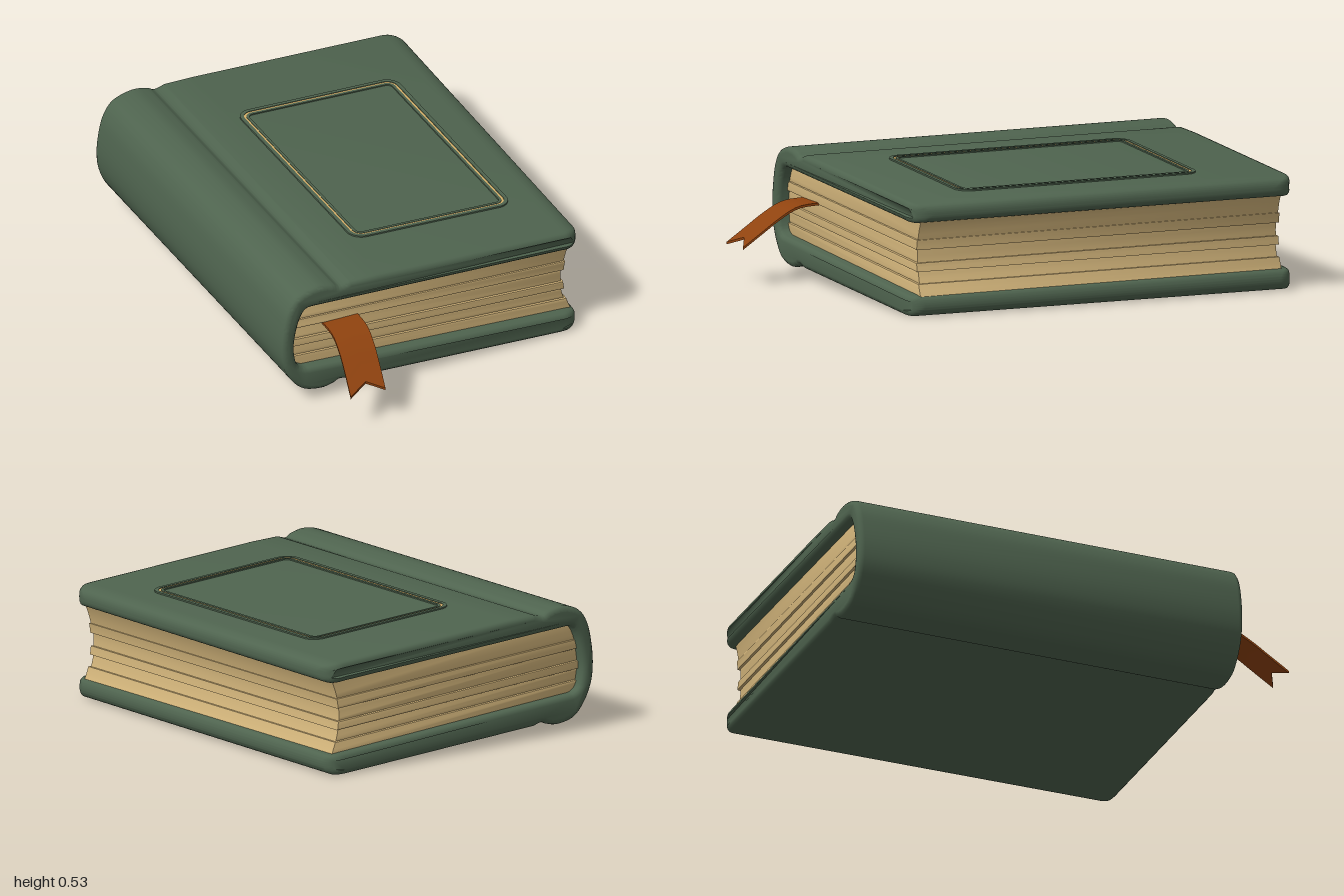
import * as THREE from 'three';
import { toCreasedNormals } from 'three/addons/utils/BufferGeometryUtils.js';

const mat = (name, color) => {
  const m = new THREE.MeshStandardMaterial({ color });
  m.name = name;
  return m;
};

// Bend a geometry by moving each vertex with fn(vector)
function warp(geo, fn) {
  const p = geo.attributes.position, v = new THREE.Vector3();
  for (let i = 0; i < p.count; i++) {
    v.fromBufferAttribute(p, i);
    fn(v);
    p.setXYZ(i, v.x, v.y, v.z);
  }
  return geo;
}

// Extrude an x-y shape between two z values, rounding its ends inward
function extrudeZ(shape, z0, z1, bevel, segments = 3) {
  const geo = new THREE.ExtrudeGeometry(shape, {
    depth: z1 - z0 - 2 * bevel, curveSegments: 8, bevelEnabled: true,
    bevelSize: bevel, bevelThickness: bevel, bevelOffset: -bevel, bevelSegments: segments,
  });
  return geo.translate(0, 0, z0 + bevel);
}

function roundedRect(Type, w, h, r) {
  const s = new Type(), x = w / 2, y = h / 2;
  s.moveTo(x, y - r);
  s.absarc(x - r, y - r, r, 0, Math.PI / 2);
  s.absarc(r - x, y - r, r, Math.PI / 2, Math.PI);
  s.absarc(r - x, r - y, r, Math.PI, Math.PI * 1.5);
  s.absarc(x - r, r - y, r, Math.PI * 1.5, Math.PI * 2);
  s.closePath();
  return s;
}

export function createModel() {
  const green = mat('coverGreen', 0x4f644f);
  const cream = mat('pageCream', 0xd3b57b);
  const gold = mat('gold', 0xd8b26a);
  const rust = mat('ribbonRust', 0x90430f);

  const book = new THREE.Group();
  book.name = 'book';
  const add = (name, geo, material, parent = book) => {
    const mesh = new THREE.Mesh(geo, material);
    mesh.name = name;
    parent.add(mesh);
  };
  const pts = (list) => list.map(([x, y]) => new THREE.Vector2(x, y));

  // Cover: both boards and the rounded spine as one wrapped profile
  const profile = new THREE.Shape();
  profile.moveTo(0.59, 0.392);
  profile.lineTo(-0.55, 0.442);
  profile.splineThru(pts([[-0.585, 0.432], [-0.615, 0.37], [-0.632, 0.27], [-0.62, 0.19], [-0.59, 0.16], [-0.55, 0.155]]));
  profile.lineTo(0.59, 0.09);
  profile.splineThru(pts([[0.635, 0.087], [0.66, 0.08], [0.672, 0.055], [0.667, 0.025], [0.64, 0.005], [0.59, 0.002]]));
  profile.lineTo(-0.38, 0.05);
  profile.splineThru(pts([[-0.425, 0.06], [-0.455, 0.048], [-0.51, 0.039], [-0.59, 0.058], [-0.645, 0.115], [-0.68, 0.19],
    [-0.69, 0.27], [-0.682, 0.36], [-0.66, 0.445], [-0.615, 0.505], [-0.53, 0.531], [-0.46, 0.522], [-0.425, 0.506], [-0.38, 0.517]]));
  profile.lineTo(-0.25, 0.515);
  profile.lineTo(0.59, 0.475);
  profile.splineThru(pts([[0.635, 0.47], [0.67, 0.457], [0.683, 0.43], [0.675, 0.402], [0.645, 0.389], [0.59, 0.392]]));
  const cover = warp(extrudeZ(profile, -0.99, 0.722, 0.022), (v) => {
    // round the board corners in plan, then skew the fore edge slightly
    const r = 0.08, d = Math.min(Math.max(v.x - (0.683 - r), 0), r);
    v.z -= Math.sign(v.z + 0.13) * (r - Math.sqrt(r * r - d * d));
    if (v.x > 0.5) v.x -= 0.012 * (v.z + 0.13);
  });
  add('cover', toCreasedNormals(cover, 0.7), green);

  // Pages: stacked sheaves with a hollow fore edge and uneven ends
  const pages = new THREE.Group();
  pages.name = 'pages';
  book.add(pages);
  const low = (x) => 0.145 - 0.057 * (x + 0.55);
  const high = (x) => 0.452 - 0.044 * (x + 0.55);
  const at = (x, t) => new THREE.Vector2(x, low(x) + (high(x) - low(x)) * t);
  const leftX = (t) => -0.65 + 0.05 * (2 * t - 1) ** 2;
  const rightX = (t) => 0.605 + 0.04 * (2 * t - 1) ** 2;
  const cuts = [0, 0.17, 0.32, 0.43, 0.6, 0.73, 1];
  const ends = [0.002, -0.006, 0.004, -0.004, 0.005, 0];
  ends.forEach((e, i) => {
    const t0 = cuts[i], t1 = cuts[i + 1], left = [], right = [];
    for (let k = 0; k <= 4; k++) {
      const t = t0 + (t1 - t0) * k / 4;
      right.push(at(rightX(t) + e, t));
      left.unshift(at(leftX(t), t));
    }
    const geo = extrudeZ(new THREE.Shape([...right, ...left]), -0.948 - e, 0.672 + e, 0.004, 2);
    add('pageSheaf', toCreasedNormals(geo, 0.6), cream, pages);
  });

  // Framed panel lying on the sloping front board
  const panel = new THREE.Group();
  panel.name = 'coverPanel';
  panel.position.set(0.14, 0.4965, -0.11);
  panel.rotation.z = -Math.atan(0.0476);
  book.add(panel);
  const frame = (name, w, h, r, band, height, material) => {
    const s = roundedRect(THREE.Shape, w, h, r);
    s.holes.push(roundedRect(THREE.Path, w - 2 * band, h - 2 * band, r - band));
    const geo = new THREE.ExtrudeGeometry(s, { depth: height + 0.004, bevelEnabled: false, curveSegments: 8 });
    geo.translate(0, 0, -0.004).rotateX(-Math.PI / 2);
    add(name, toCreasedNormals(geo, 0.6), material, panel);
  };
  frame('panelRim', 0.725, 1.08, 0.06, 0.016, 0.006, green);
  frame('goldLine', 0.693, 1.048, 0.044, 0.01, 0.003, gold);
  frame('panelInnerRim', 0.673, 1.028, 0.034, 0.012, 0.005, green);

  // Ribbon bookmark: a thin strip following a drooping curve, with a notched tip
  const path = new THREE.CatmullRomCurve3([
    [-0.405, 0.322, 0.56], [-0.405, 0.322, 0.68], [-0.406, 0.312, 0.77],
    [-0.413, 0.272, 0.845], [-0.424, 0.22, 0.915], [-0.44, 0.155, 1.0],
  ].map((p) => new THREE.Vector3(...p)));
  const ribbon = warp(new THREE.BoxGeometry(0.158, 0.01, 1, 2, 1, 20), (v) => {
    const notch = 0.1 * Math.max(0, 1 - Math.abs(v.x) / 0.079);
    const u = THREE.MathUtils.clamp((v.z + 0.5) * (1 - notch), 0, 1);
    const p = path.getPointAt(u);
    v.set(p.x + v.x, p.y + v.y, p.z);
  });
  add('ribbonBookmark', toCreasedNormals(ribbon, 0.7), rust);

  return book;
}
